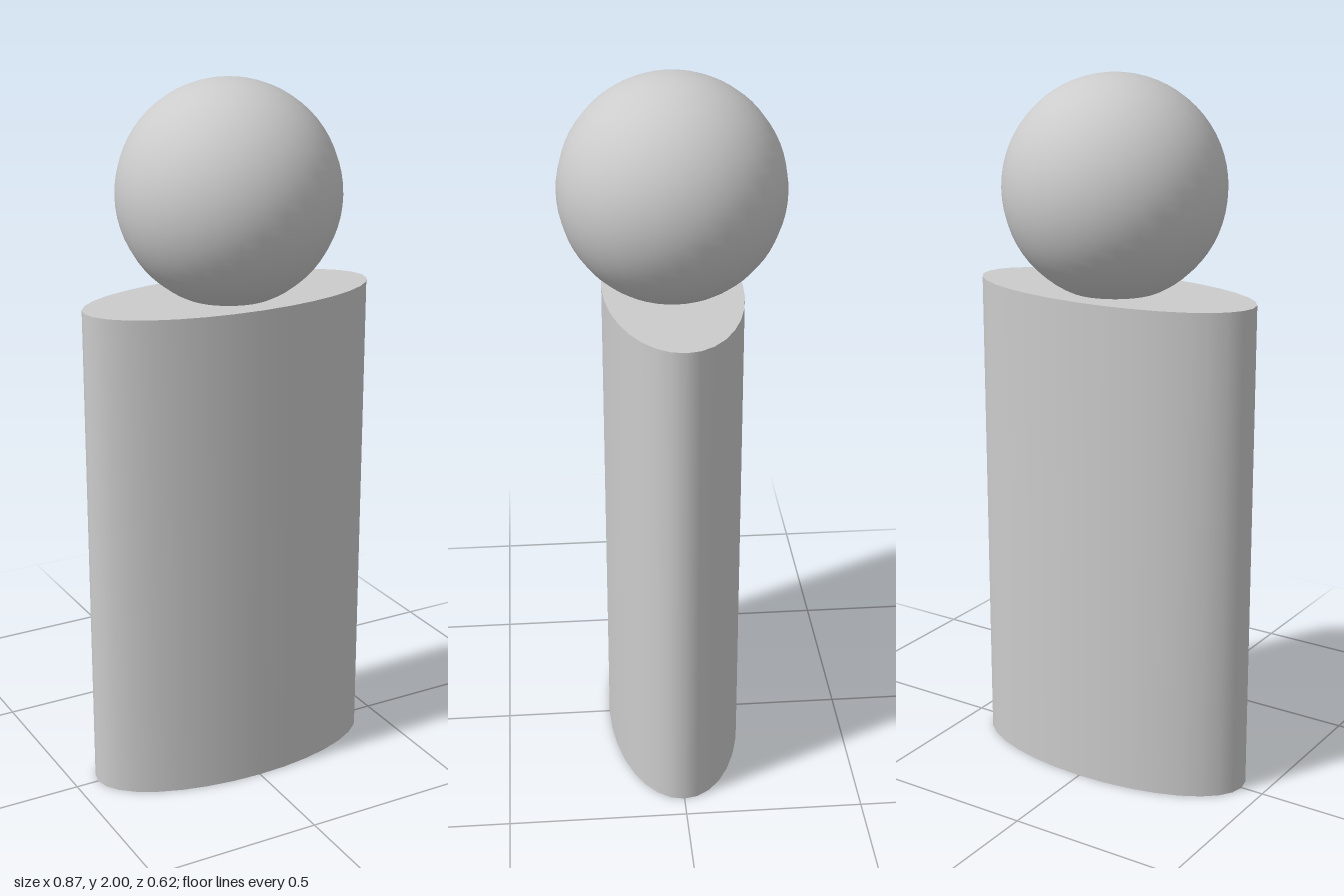
import * as THREE from 'three';

export function createModel() {
  const group = new THREE.Group();
  const material = new THREE.MeshStandardMaterial({ color: 0xcccccc });
  const bodyHeight = 1.412, headRadius = 0.308;

  // Body: upright cylinder flattened to an ellipse
  const bodyGeometry = new THREE.CylinderGeometry(1, 1, bodyHeight, 32);
  bodyGeometry.scale(0.433, 1, 0.193);
  const body = new THREE.Mesh(bodyGeometry, material);
  body.name = 'body';
  body.position.y = bodyHeight / 2;

  // Head: sphere sunk slightly into the top of the body
  const head = new THREE.Mesh(new THREE.SphereGeometry(headRadius, 32, 32), material);
  head.name = 'head';
  head.position.y = 2 - headRadius;

  group.add(body, head);
  return group;
}
